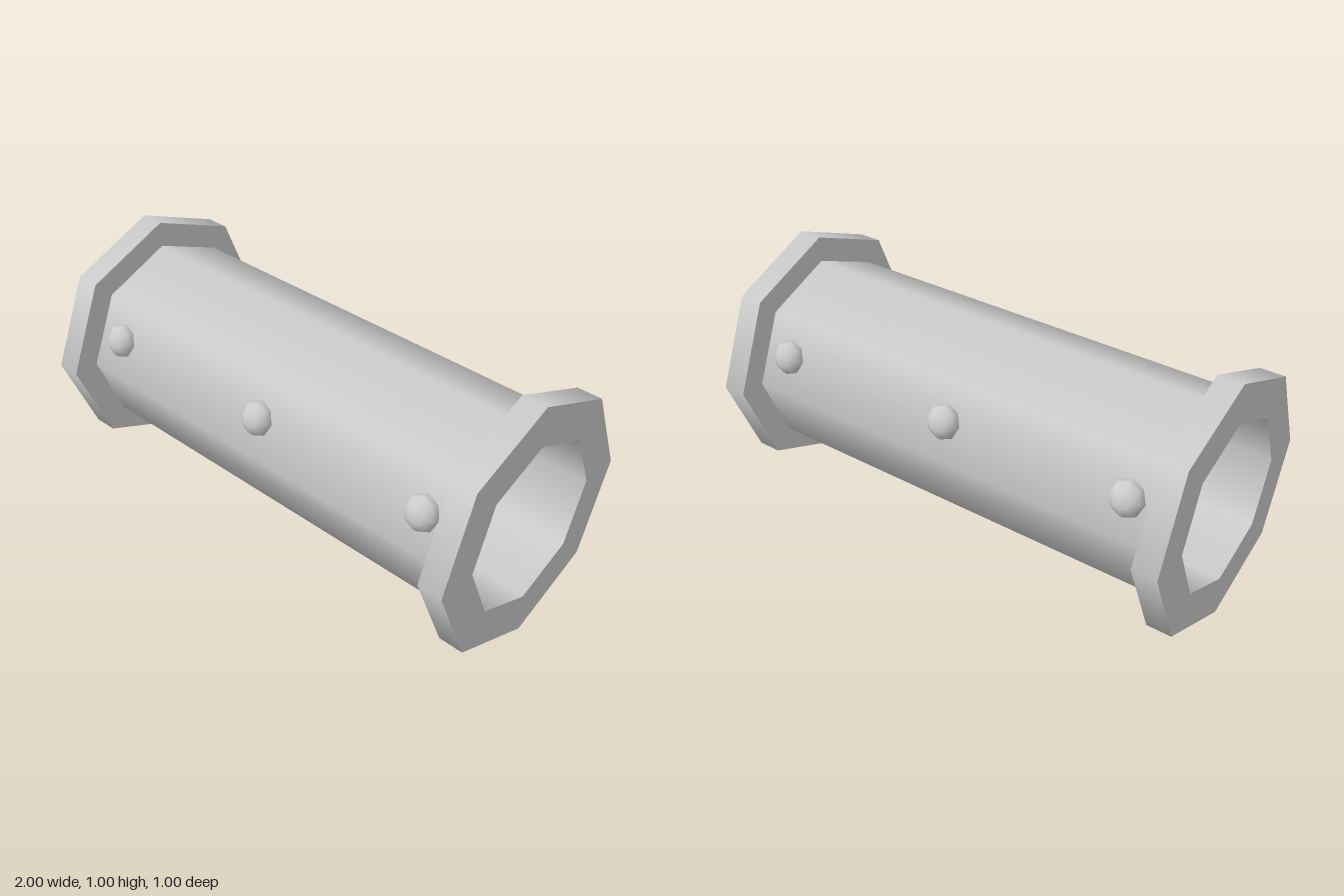
import * as THREE from 'three';
import { mergeGeometries } from 'three/addons/utils/BufferGeometryUtils.js';

const SIDES = 8;
const AXIS_Y = 0.5;
const OUTER = 0.395, INNER = 0.338, FLANGE = 0.5;
const material = new THREE.MeshStandardMaterial({ color: 0xcccccc });

// Eight-sided ring along x: each profile segment is turned separately,
// so the shading is smooth around the ring and sharp at its rims.
function turned(segments) {
  const parts = segments.map(([r0, x0, r1, x1]) =>
    new THREE.LatheGeometry([new THREE.Vector2(r0, x0), new THREE.Vector2(r1, x1)], SIDES));
  return mergeGeometries(parts).rotateZ(-Math.PI / 2);
}

function addMesh(parent, name, geometry, x, y, z) {
  const mesh = new THREE.Mesh(geometry, material);
  mesh.name = name;
  mesh.position.set(x, y, z);
  parent.add(mesh);
  return mesh;
}

export function createModel() {
  const group = new THREE.Group();
  group.name = 'flangedPipe';

  // Pipe wall: outside and bore
  addMesh(group, 'pipe', turned([
    [OUTER, -0.9, OUTER, 0.9],
    [INNER, 0.9, INNER, -0.9],
  ]), 0, AXIS_Y, 0);

  // End flanges
  const h = 0.05;
  const flange = turned([
    [FLANGE, -h, FLANGE, h],
    [FLANGE, h, INNER, h],
    [INNER, h, INNER, -h],
    [INNER, -h, FLANGE, -h],
  ]);
  addMesh(group, 'leftFlange', flange, 0.95, AXIS_Y, 0);
  addMesh(group, 'rightFlange', flange, -0.95, AXIS_Y, 0);

  // Domed rivets on the upper front and back facets
  const dome = new THREE.SphereGeometry(0.07, 8, 3, 0, Math.PI * 2, 0, Math.PI / 2);
  dome.scale(1, 0.72, 1);
  const tilt = Math.PI / SIDES;
  const reach = OUTER * Math.cos(tilt);
  for (const side of [1, -1]) {
    for (const x of [-0.78, 0, 0.78]) {
      const rivet = addMesh(group, side > 0 ? 'frontRivet' : 'backRivet', dome,
        x, AXIS_Y + reach * Math.sin(tilt), side * reach * Math.cos(tilt));
      rivet.rotation.x = side * (Math.PI / 2 - tilt);
    }
  }
  return group;
}
